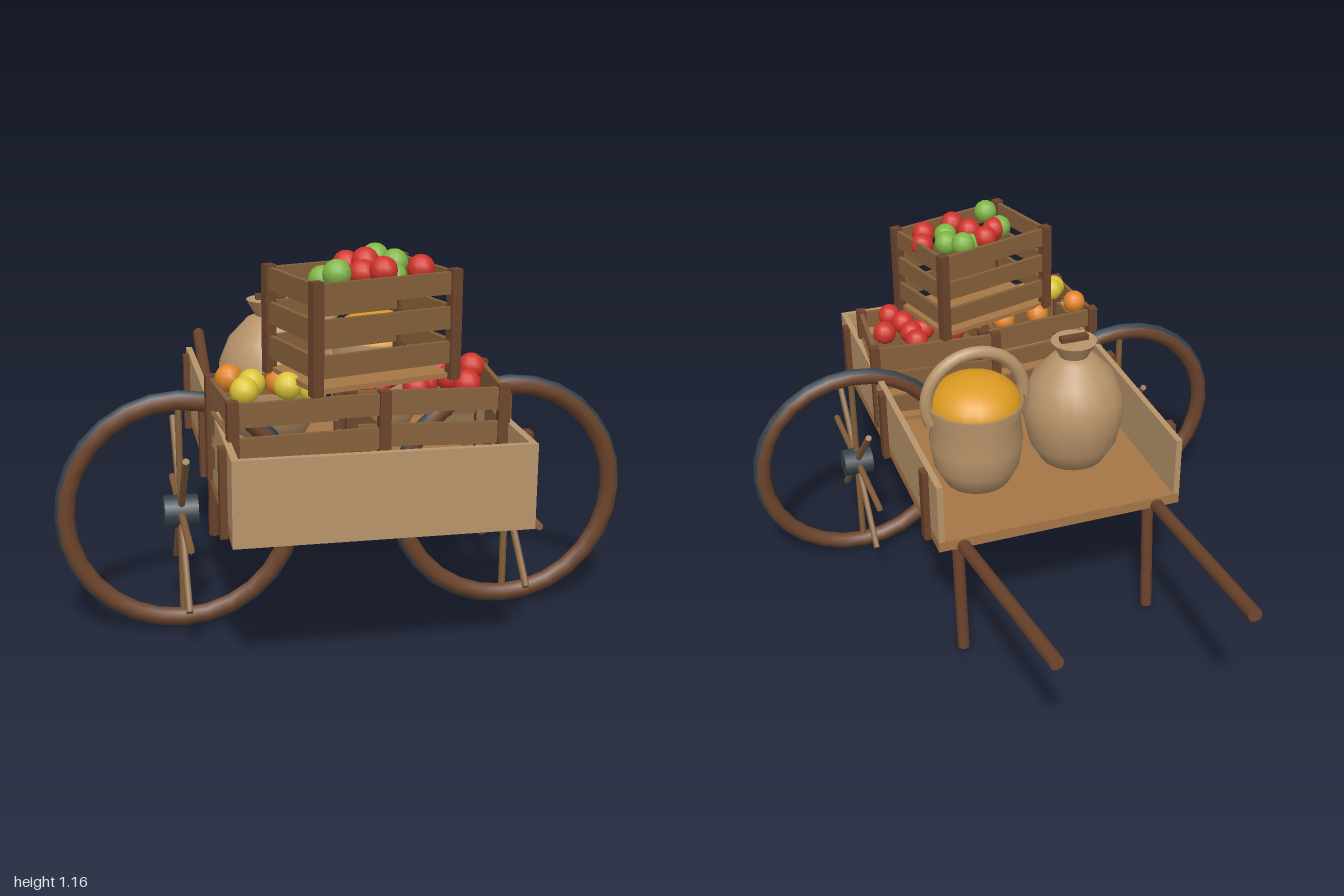
import * as THREE from 'three';

const mat = (name, color, side = THREE.FrontSide) => {
  const m = new THREE.MeshStandardMaterial({ color, side });
  m.name = name;
  return m;
};

export function createModel() {
  const cart = new THREE.Group();
  cart.name = 'marketCart';
  const M = {
    tan: mat('tan', 0xb8946a, THREE.DoubleSide),
    plank: mat('plank', 0xa67647),
    dark: mat('darkWood', 0x6b432b),
    slat: mat('slatWood', 0x85603a),
    iron: mat('iron', 0x36414a),
    grain: mat('grain', 0xdc9a22),
    red: mat('red', 0xd0342a),
    green: mat('green', 0x7fb545),
    yellow: mat('yellow', 0xdcc436),
    orange: mat('orange', 0xe08428),
  };
  const add = (parent, name, geo, m, x = 0, y = 0, z = 0) => {
    const mesh = new THREE.Mesh(geo, m);
    mesh.name = name;
    mesh.position.set(x, y, z);
    parent.add(mesh);
    return mesh;
  };
  const box = (parent, name, w, h, d, m, x, y, z) =>
    add(parent, name, new THREE.BoxGeometry(w, h, d), m, x, y, z);
  const group = (name, x, y, z) => {
    const g = new THREE.Group();
    g.name = name;
    g.position.set(x, y, z);
    cart.add(g);
    return g;
  };
  // round bar between two points
  const bar = (parent, name, a, b, r, m, sides = 8) => {
    const A = new THREE.Vector3(...a), B = new THREE.Vector3(...b);
    const d = B.clone().sub(A);
    const mesh = add(parent, name, new THREE.CylinderGeometry(r, r, d.length(), sides), m);
    mesh.position.copy(A).add(B).multiplyScalar(0.5);
    mesh.quaternion.setFromUnitVectors(new THREE.Vector3(0, 1, 0), d.normalize());
  };

  // bed
  box(cart, 'floor', 0.82, 0.035, 1.24, M.plank, 0, 0.4775, 0.36);
  box(cart, 'frontBoard', 0.82, 0.24, 0.02, M.tan, 0, 0.58, 0.99);
  for (const s of [1, -1]) {
    const side = s > 0 ? 'left' : 'right';
    box(cart, side + 'Board', 0.02, 0.205, 1.24, M.tan, s * 0.4, 0.5975, 0.36);
    for (const z of [-0.15, 0.36, 0.88])
      box(cart, side + 'Stake', 0.02, 0.25, 0.04, M.dark, s * 0.42, 0.575, z);
    bar(cart, side + 'Handle', [s * 0.33, 0.468, -0.26], [s * 0.297, 0.578, -0.997], 0.022, M.dark);
    bar(cart, side + 'Leg', [s * 0.33, 0.47, -0.19], [s * 0.33, 0.03, -0.222], 0.02, M.dark);

    // wheel: rim set crosswise to the spokes
    const wheel = group(side + 'Wheel', s * 0.5, 0.38, 0.47);
    add(wheel, 'rim', new THREE.TorusGeometry(0.338, 0.028, 8, 28), M.dark);
    add(wheel, 'tyre', new THREE.TorusGeometry(0.3485, 0.0215, 6, 28), M.iron);
    add(wheel, 'hub', new THREE.CylinderGeometry(0.048, 0.048, 0.1, 10), M.iron).rotation.z = Math.PI / 2;
    for (let i = 0; i < 8; i++) {
      const a = (i * Math.PI) / 4;
      bar(wheel, 'spoke', [0, 0, 0], [0, Math.sin(a) * 0.32, Math.cos(a) * 0.32], 0.011, M.slat, 6);
    }
  }

  // slatted crates
  const crate = (name, x, y, z, turn) => {
    const g = group(name, x, y, z);
    g.rotation.y = turn;
    box(g, 'crateFloor', 0.42, 0.015, 0.29, M.plank, 0, 0.01, 0);
    for (const s of [1, -1]) {
      for (const t of [1, -1]) box(g, 'cornerPost', 0.032, 0.31, 0.032, M.dark, s * 0.213, 0.155, t * 0.147);
      for (let i = 0; i < 3; i++) {
        const h = 0.078 + i * 0.097;
        box(g, 'longSlat', 0.42, 0.062, 0.014, M.slat, 0, h, s * 0.147);
        box(g, 'endSlat', 0.014, 0.062, 0.29, M.slat, s * 0.213, h, 0);
      }
    }
  };
  crate('leftLowerCrate', 0.18, 0.497, 0.62, -0.087);
  crate('rightLowerCrate', -0.185, 0.497, 0.655, 0.087);
  crate('upperCrate', 0, 0.818, 0.65, 0.285);

  // fruit: [x, y, z]
  const ball = new THREE.SphereGeometry(0.04, 12, 8);
  const fruit = {
    red: [
      [-0.025, 1.12, 0.565], [0.02, 1.135, 0.61], [-0.09, 1.1, 0.67], [0, 1.11, 0.665],
      [0.05, 1.125, 0.71], [0.165, 1.12, 0.67], [0.185, 1.1, 0.62],
      [0.245, 0.79, 0.525], [0.345, 0.81, 0.58], [0.25, 0.795, 0.58], [0.26, 0.8, 0.655],
      [0.29, 0.8, 0.725], [0.195, 0.78, 0.62], [0.04, 0.79, 0.68], [0.1, 0.79, 0.56], [0.15, 0.79, 0.7],
    ],
    green: [
      [0.07, 1.13, 0.515], [0.115, 1.12, 0.565], [0.025, 1.1, 0.585],
      [-0.115, 1.1, 0.68], [-0.09, 1.13, 0.76], [0.085, 1.1, 0.675],
    ],
    yellow: [[-0.315, 0.82, 0.69], [-0.34, 0.81, 0.73], [-0.215, 0.81, 0.7], [-0.14, 0.79, 0.68]],
    orange: [[-0.365, 0.81, 0.585], [-0.22, 0.79, 0.575], [-0.09, 0.79, 0.57]],
  };
  for (const colour in fruit)
    for (const p of fruit[colour]) add(cart, colour + 'Fruit', ball, M[colour], ...p);

  const lathe = (pts) => new THREE.LatheGeometry(pts.map(([r, y]) => new THREE.Vector2(r, y)), 20);

  // jar with flared lid
  const jar = group('jar', -0.17, 0.495, 0.09);
  add(jar, 'jarBody', lathe([[0, 0], [0.11, 0], [0.15, 0.07], [0.17, 0.165], [0.166, 0.235], [0.135, 0.31], [0.075, 0.375], [0.05, 0.385]]), M.tan);
  add(jar, 'jarLid', new THREE.CylinderGeometry(0.077, 0.045, 0.055, 16), M.tan, 0, 0.408, 0);
  box(jar, 'lidGrip', 0.095, 0.02, 0.027, M.dark, 0, 0.442, 0);

  // basket heaped with grain
  const basket = group('basket', 0.18, 0.495, 0.065);
  add(basket, 'basketBody', lathe([[0, 0], [0.11, 0], [0.145, 0.07], [0.155, 0.15], [0.147, 0.24], [0.165, 0.295], [0.15, 0.295]]), M.tan);
  const heap = add(basket, 'grainHeap', new THREE.SphereGeometry(0.155, 18, 8, 0, Math.PI * 2, 0, Math.PI / 2), M.grain, 0, 0.275, 0);
  heap.scale.y = 0.68;
  const handle = add(basket, 'basketHandle', new THREE.TorusGeometry(0.165, 0.022, 8, 24, Math.PI + 0.8), M.tan, 0, 0.3, 0);
  handle.rotation.z = -0.4;
  return cart;
}
